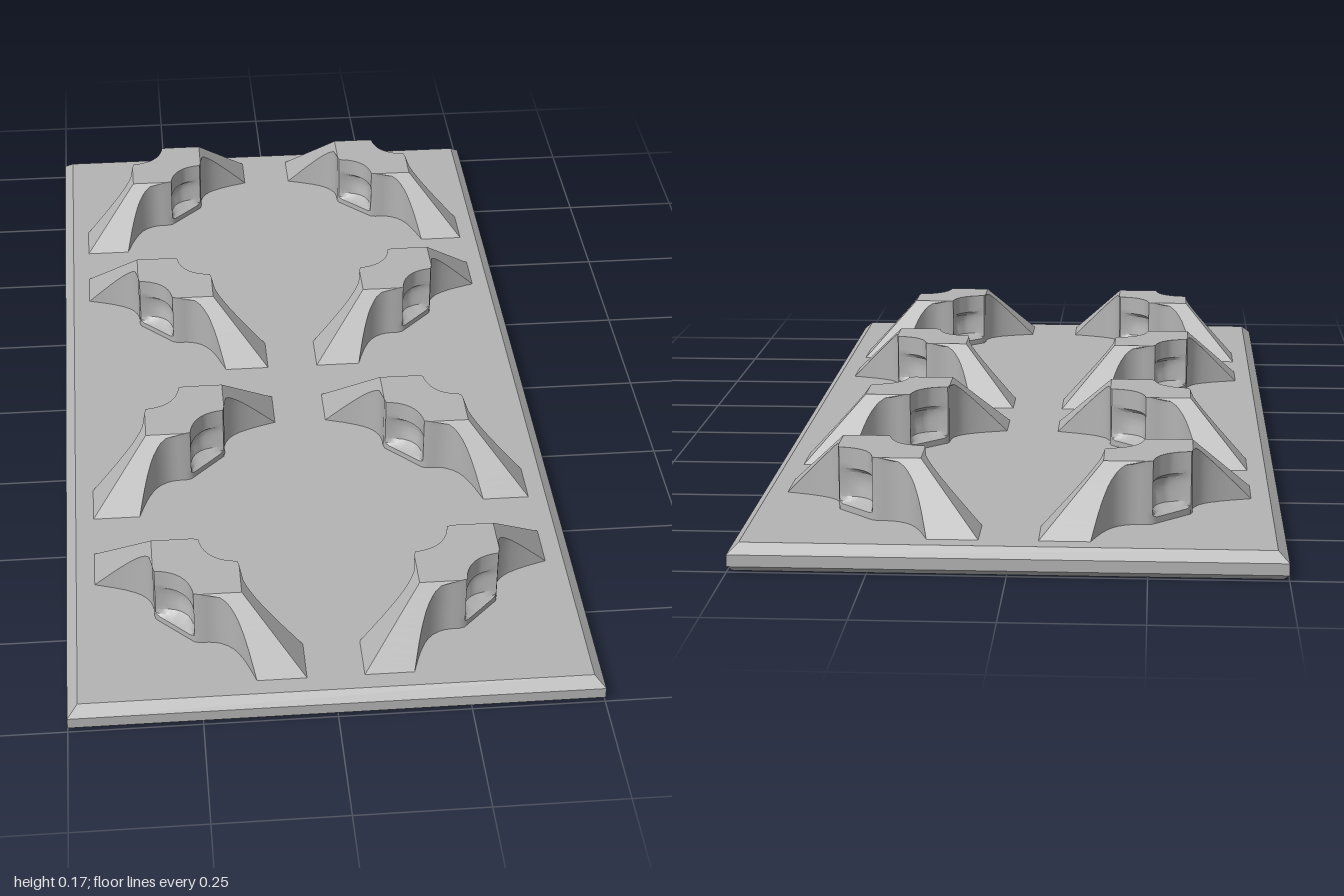
import * as THREE from 'three';
import { toCreasedNormals } from 'three/addons/utils/BufferGeometryUtils.js';

const BASE_Y = 0.05, TOP_Y = 0.17, HORN = 0.05;

// Piecewise-linear lookup in a list of [key, value]
function lookup(table, t) {
  for (let i = 1; i < table.length; i++) {
    const [k0, v0] = table[i - 1], [k1, v1] = table[i];
    if (t <= k1) return v0 + (v1 - v0) * Math.max(0, (t - k0) / (k1 - k0));
  }
  return table[table.length - 1][1];
}

// Half thickness of the wall along its length, outside the niche
const waist = [[0.05, 0.062], [0.06, 0.056], [0.07, 0.046], [0.08, 0.038], [0.09, 0.033],
  [0.105, 0.029], [0.12, 0.029], [0.135, 0.032], [0.155, 0.039], [0.175, 0.048], [0.21, 0.066], [0.3, 0.11]];
// Depth of the niche in the middle of each side, by height
const nicheDepth = [[0.05, 0], [0.062, 0], [0.066, 0.014], [0.075, 0.028], [0.105, 0.034],
  [0.122, 0.031], [0.13, 0.02], [0.17, 0.02]];

function halfThickness(a, y) {
  if (a < HORN) return 0.062 - lookup(nicheDepth, y) * (1 - (a / HORN) ** 2);
  return lookup(waist, a);
}

// Plan points of a quarter of the wall at height y, cut by a four-sided pyramid
function quarterRow(y, stations) {
  const half = 0.195 - (0.113 * (y - BASE_Y)) / (TOP_Y - BASE_Y);
  const reach = half * Math.SQRT2;
  let lo = HORN, hi = reach;
  for (let k = 0; k < 40; k++) {
    const mid = (lo + hi) / 2;
    if (mid + halfThickness(mid, y) < reach) lo = mid; else hi = mid;
  }
  const row = stations.map((s) => {
    const a = Math.min(s, lo);
    return [a, y, halfThickness(a, y)];
  });
  row.push([reach, y, 0]);
  return row;
}

function barrierGeometry() {
  const stations = [0, 0.01, 0.02, 0.03, 0.04, ...waist.map((w) => w[0])];
  const heights = [0.05, 0.062, 0.066, 0.075, 0.09, 0.105, 0.115, 0.122, 0.13, 0.14, 0.15, 0.157, 0.164, 0.17];
  const rows = heights.map((y) => quarterRow(y, stations));
  const pos = [];
  const tri = (a, b, c, sx, sz) => {
    const [A, B, C] = [a, b, c].map((p) => new THREE.Vector3(p[0] * sx, p[1], p[2] * sz));
    const area = B.clone().sub(A).cross(C.clone().sub(A)).length();
    if (area < 1e-9) return;
    for (const v of sx * sz > 0 ? [A, B, C] : [A, C, B]) pos.push(v.x, v.y, v.z);
  };
  const quad = (a, b, c, d, sx, sz) => { tri(a, b, c, sx, sz); tri(a, c, d, sx, sz); };
  for (const sx of [1, -1]) for (const sz of [1, -1]) {
    // Sides and sloping ends
    for (let r = 1; r < rows.length; r++) {
      for (let i = 1; i < rows[r].length; i++) {
        quad(rows[r - 1][i - 1], rows[r - 1][i], rows[r][i], rows[r][i - 1], sx, sz);
      }
    }
    // Flat top
    const top = rows[rows.length - 1];
    for (let i = 1; i < top.length; i++) {
      const p = top[i - 1], q = top[i];
      quad(p, q, [q[0], q[1], 0], [p[0], p[1], 0], sx, sz);
    }
  }
  const g = new THREE.BufferGeometry();
  g.setAttribute('position', new THREE.Float32BufferAttribute(pos, 3));
  return toCreasedNormals(g, 0.55);
}

// Board with a wide bevel above and a narrow one below
function boardGeometry() {
  const levels = [[0, 0.01], [0.01, 0], [0.032, 0], [BASE_Y, 0.02]];
  const box = new THREE.BoxGeometry(1, 3, 2, 1, 3, 1);
  const p = box.attributes.position;
  for (let i = 0; i < p.count; i++) {
    const [y, inset] = levels[Math.round(p.getY(i) + 1.5)];
    p.setXYZ(i, Math.sign(p.getX(i)) * (0.5 - inset), y, Math.sign(p.getZ(i)) * (1 - inset));
  }
  const g = box.toNonIndexed();
  g.computeVertexNormals();
  return g;
}

export function createModel() {
  const model = new THREE.Group();
  model.name = 'barrierBoard';
  const grey = new THREE.MeshStandardMaterial({ color: 0xb4b4b4 });
  grey.name = 'plain grey';

  const board = new THREE.Mesh(boardGeometry(), grey);
  board.name = 'board';
  model.add(board);

  // Two columns of diagonal barriers, turning the other way from row to row
  const barrier = barrierGeometry();
  [-0.75, -0.25, 0.25, 0.75].forEach((z, row) => {
    for (const side of [-1, 1]) {
      const mesh = new THREE.Mesh(barrier, grey);
      mesh.name = `${side > 0 ? 'left' : 'right'}Barrier${row + 1}`;
      mesh.position.set(side * 0.249, 0, z);
      mesh.rotation.y = (-side * (row % 2 ? -1 : 1) * Math.PI) / 4;
      model.add(mesh);
    }
  });
  return model;
}
